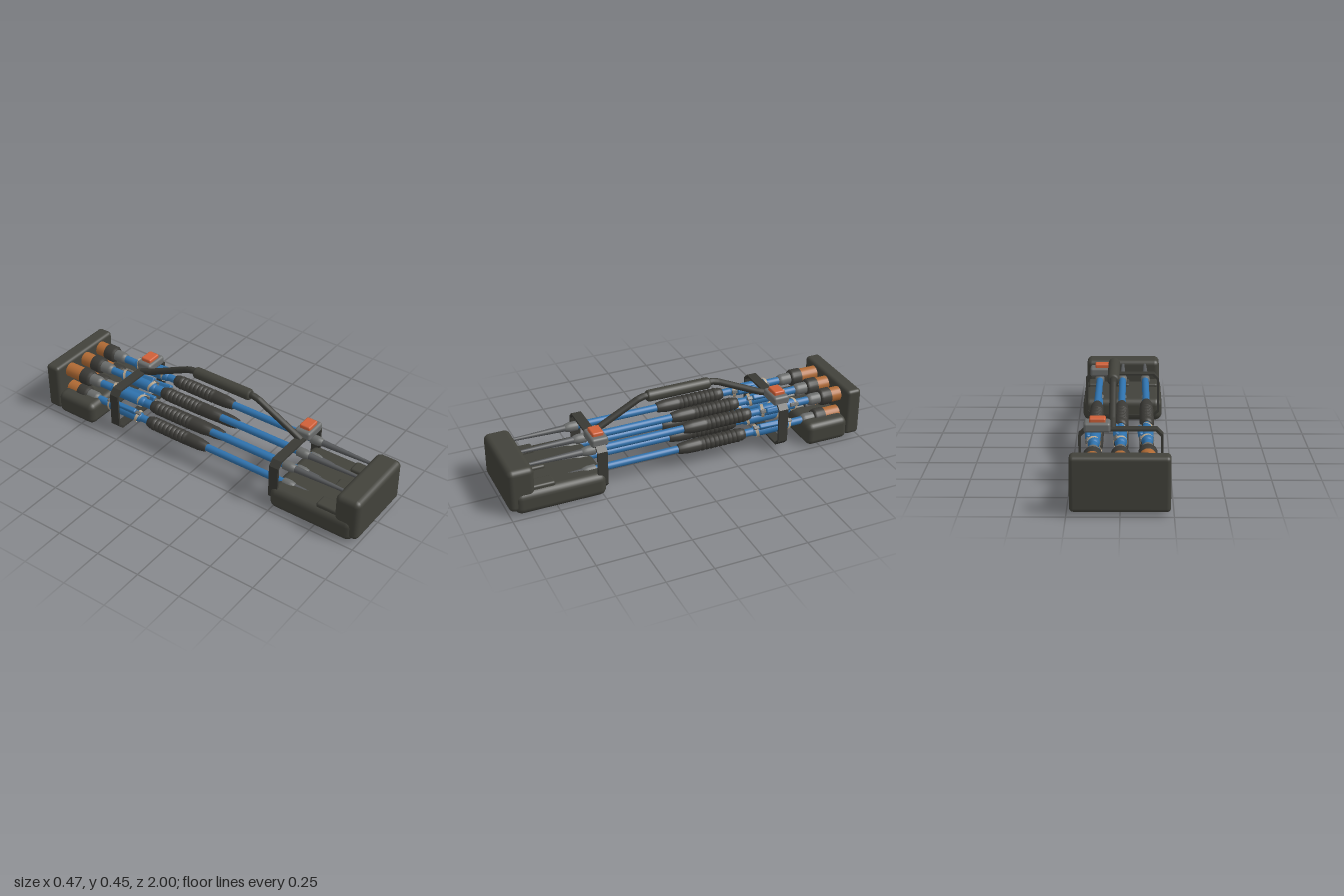
import * as THREE from 'three';
import { RoundedBoxGeometry } from 'three/addons/geometries/RoundedBoxGeometry.js';

const mat = (name, color, side = THREE.FrontSide) => {
  const m = new THREE.MeshStandardMaterial({ color, side });
  m.name = name;
  return m;
};

export function createModel() {
  const M = {
    shell: mat('dark shell', 0x42423b),
    strap: mat('strap', 0x393934),
    grip: mat('grip rubber', 0x3b3a36),
    blue: mat('blue rod', 0x2f72ad),
    copper: mat('copper', 0xb06a34),
    orange: mat('orange button', 0xcf6038),
    gray: mat('gray fitting', 0x6a6c6b),
    tip: mat('tip metal', 0x56585a),
    beige: mat('beige binding', 0xb9a68c, THREE.DoubleSide),
  };
  const root = new THREE.Group();
  root.name = 'rodCarrier';

  const add = (parent, name, geo, material, x = 0, y = 0, z = 0) => {
    const m = new THREE.Mesh(geo, material);
    m.name = name;
    m.position.set(x, y, z);
    parent.add(m);
    return m;
  };
  // Rounded box given by its limits
  const box = (parent, name, material, [x0, x1], [y0, y1], [z0, z1], r) =>
    add(parent, name, new RoundedBoxGeometry(x1 - x0, y1 - y0, z1 - z0, 3, r), material,
      (x0 + x1) / 2, (y0 + y1) / 2, (z0 + z1) / 2);
  // Round part along z from (radius, z) points, z increasing
  const turned = (parent, name, material, pts, seg = 20) => {
    const geo = new THREE.LatheGeometry(pts.map(([r, z]) => new THREE.Vector2(r, z)), seg);
    return add(parent, name, geo.rotateX(Math.PI / 2), material);
  };
  const drum = (parent, name, material, r0, z0, r1, z1) =>
    add(parent, name, new THREE.CylinderGeometry(r1, r0, z1 - z0, 20).rotateX(Math.PI / 2),
      material, 0, 0, (z0 + z1) / 2);

  // Front end cap: tray, wall and three tip pockets
  const front = new THREE.Group();
  front.name = 'frontCap';
  root.add(front);
  box(front, 'frontTray', M.shell, [-0.225, 0.225], [0, 0.13], [0.48, 0.97], 0.04);
  box(front, 'frontWall', M.shell, [-0.215, 0.215], [0.02, 0.26], [0.86, 1], 0.03);
  for (const x of [-0.165, 0, 0.165])
    box(front, 'tipPocket', M.shell, [x - 0.038, x + 0.038], [0.08, 0.147], [0.75, 0.9], 0.012);

  // Rear end cap: plate and tray
  const rear = new THREE.Group();
  rear.name = 'rearCap';
  root.add(rear);
  box(rear, 'rearPlate', M.shell, [-0.235, 0.235], [0.02, 0.29], [-1, -0.915], 0.02);
  box(rear, 'rearTray', M.shell, [-0.235, 0.235], [0, 0.13], [-0.93, -0.68], 0.035);

  // Ribbed grip profile
  const gripPts = [[0.02, -0.35], [0.028, -0.35], [0.035, -0.33]];
  const ribs = 9;
  for (let i = 0; i < ribs; i++) {
    const z = -0.32 + i * 0.026;
    gripPts.push([0.031, z], [0.037, z + 0.006], [0.037, z + 0.019], [0.031, z + 0.025]);
  }
  gripPts.push([0.036, -0.08], [0.034, -0.01], [0.027, 0.035], [0.02, 0.04]);

  // One rod, built along z around its own axis
  const rod = (x, y, dz, seatAngle) => {
    const g = new THREE.Group();
    g.name = 'rod';
    g.position.set(x, y, 0);
    root.add(g);
    drum(g, 'shaft', M.blue, 0.021, -0.76, 0.019, 0.53);
    turned(g, 'ferrule', M.gray, [[0.018, 0.51], [0.026, 0.515], [0.026, 0.555], [0.02, 0.58], [0.012, 0.585]]);
    drum(g, 'taperedTip', M.tip, 0.018, 0.57, 0.008, 0.88);

    const h = new THREE.Group();
    h.name = 'rodHandle';
    h.position.z = dz;
    g.add(h);
    turned(h, 'ribbedGrip', M.grip, gripPts);
    // Butt end: copper cap, dark collar and gray neck
    drum(h, 'copperCap', M.copper, 0.04, -0.93 - dz, 0.04, -0.83);
    turned(h, 'collar', M.grip, [[0.035, -0.84], [0.046, -0.835], [0.046, -0.785], [0.04, -0.772], [0.02, -0.77]]);
    turned(h, 'neck', M.gray, [[0.032, -0.78], [0.032, -0.72], [0.027, -0.705], [0.018, -0.70]]);
    // Seat with a side foot, bound by slanted rings
    const seat = new THREE.Group();
    seat.name = 'seat';
    seat.rotation.z = seatAngle;
    h.add(seat);
    turned(seat, 'seatSleeve', M.blue, [[0.02, -0.63], [0.028, -0.62], [0.031, -0.58], [0.031, -0.45], [0.027, -0.41], [0.02, -0.40]]);
    const foot = box(seat, 'seatFoot', M.blue, [0.005, 0.048], [-0.014, 0.014], [-0.56, -0.43], 0.008);
    foot.rotation.y = 0.06;
    for (const [z, tilt] of [[-0.605, 0.35], [-0.425, -0.35]]) {
      const band = add(seat, 'binding', new THREE.CylinderGeometry(0.035, 0.035, 0.016, 20, 1, true).rotateX(Math.PI / 2),
        M.beige, 0.003, 0, z);
      band.rotation.y = tilt;
      box(seat, 'clip', M.gray, [0.03, 0.042], [-0.01, 0.01], [z - 0.025, z + 0.025], 0.004);
    }
  };
  [[-0.13, 0.02], [0, -0.01], [0.13, -0.02]].forEach(([x, dz], i) => {
    rod(x, 0.233, dz, [0.3, 0.8, 0.4][i]);
    rod(x, 0.115, -dz * 0.5, [1.9, 1.3, 1.0][i]);
  });

  // Strap loops with cut corners, each with a buckle
  const octagon = (path, x, y0, y1, c) => {
    const p = [[-x + c, y0], [x - c, y0], [x, y0 + c], [x, y1 - c], [x - c, y1], [-x + c, y1], [-x, y1 - c], [-x, y0 + c]];
    path.setFromPoints(p.map(([a, b]) => new THREE.Vector2(a, b)));
    return path;
  };
  const loop = octagon(new THREE.Shape(), 0.208, 0.03, 0.284, 0.03);
  loop.holes.push(octagon(new THREE.Path(), 0.197, 0.041, 0.273, 0.026));
  const loopGeo = new THREE.ExtrudeGeometry(loop, { depth: 0.054, bevelEnabled: false });
  for (const z of [0.498, -0.538]) {
    add(root, 'strapLoop', loopGeo, M.strap, 0, 0, z - 0.027);
    box(root, 'buckle', M.gray, [0.05, 0.182], [0.27, 0.32], [z - 0.046, z + 0.046], 0.014);
    box(root, 'buckleButton', M.orange, [0.074, 0.154], [0.31, 0.34], [z - 0.031, z + 0.031], 0.008);
  }

  // Carry handle: bent bar with a round grip
  const bends = [[0.275, 0.5], [0.3, 0.455], [0.415, 0.235], [0.425, 0.2], [0.425, -0.19], [0.415, -0.225], [0.3, -0.47], [0.275, -0.54]]
    .map(([y, z]) => new THREE.Vector3(0.042, y, z));
  const path = new THREE.CurvePath();
  for (let i = 1; i < bends.length; i++) path.add(new THREE.LineCurve3(bends[i - 1], bends[i]));
  add(root, 'handleBar', new THREE.TubeGeometry(path, 90, 0.018, 12), M.strap);
  const grip = turned(root, 'handleGrip', M.shell,
    [[0.015, -0.17], [0.026, -0.17], [0.031, -0.16], [0.031, 0.175], [0.026, 0.185], [0.015, 0.185]], 24);
  grip.position.set(0.042, 0.422, 0);

  // Turned profiles run along +z, so their outer faces point outward
  return root;
}
